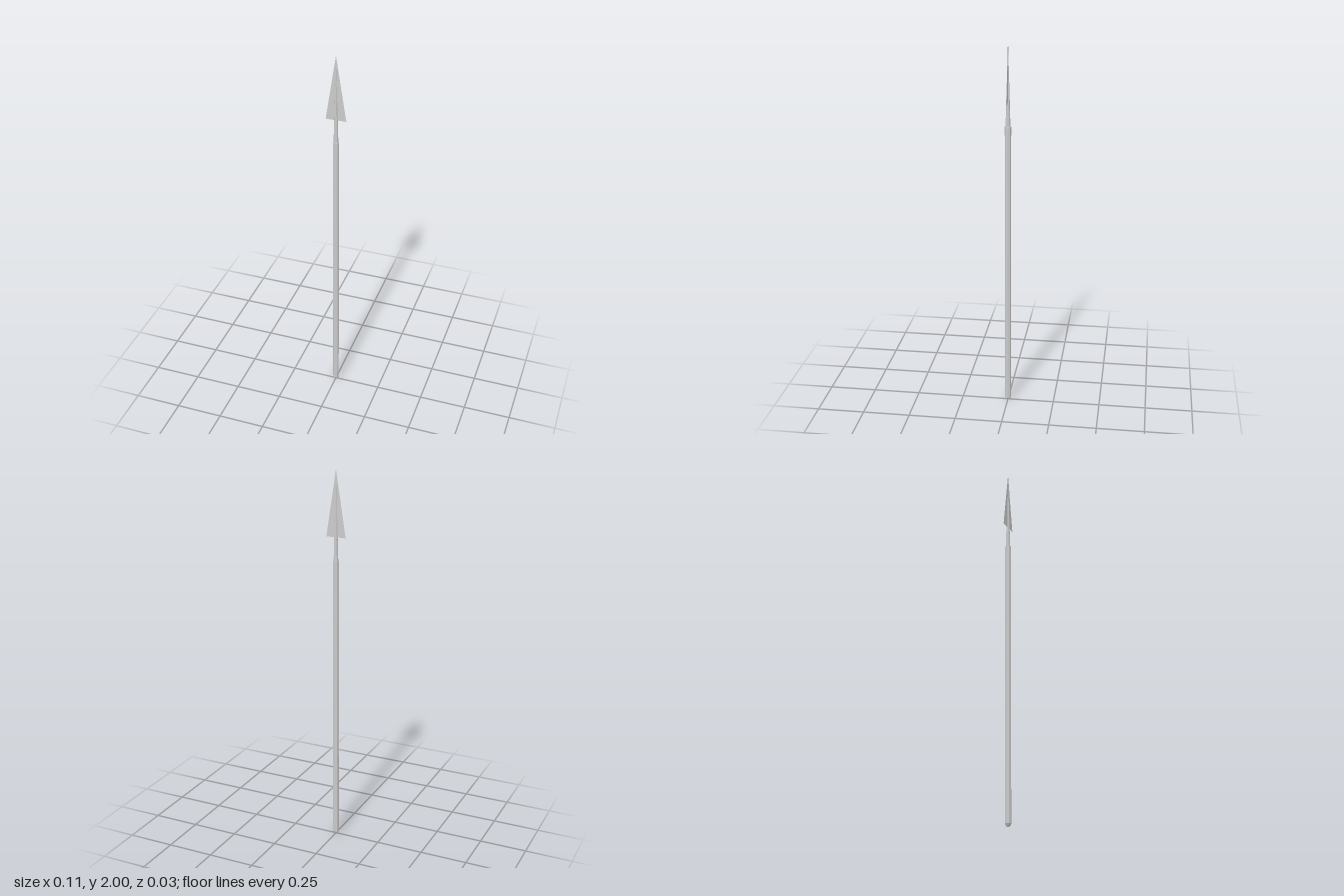
import * as THREE from 'three';

const SIDES = 8;

export function createModel() {
  const model = new THREE.Group();
  model.name = 'spear';
  const metal = new THREE.MeshStandardMaterial({ color: 0xcccccc, flatShading: true });
  const thin = new THREE.MeshStandardMaterial({ color: 0xcccccc, side: THREE.DoubleSide });

  const add = (name, geometry, material) => {
    const mesh = new THREE.Mesh(geometry, material);
    mesh.name = name;
    model.add(mesh);
  };
  const lathe = (points) =>
    new THREE.LatheGeometry(points.map(([r, y]) => new THREE.Vector2(r, y)), SIDES);

  // Eight-sided pole with a chamfered butt and a flat top
  add('shaft', lathe([[0, 0], [0.01, 0.002], [0.0165, 0.014], [0.0165, 1.54], [0, 1.54]]), metal);

  // Tapering core that rises from the pole through the blade
  add('core', lathe([[0.0125, 1.535], [0.0105, 1.62], [0, 1.97]]), metal);

  // Paper-thin triangular blade across the core
  const blade = new THREE.Shape([
    new THREE.Vector2(-0.053, 1.66),
    new THREE.Vector2(0.053, 1.66),
    new THREE.Vector2(0, 2),
  ]);
  add('blade', new THREE.ShapeGeometry(blade), thin);

  return model;
}
